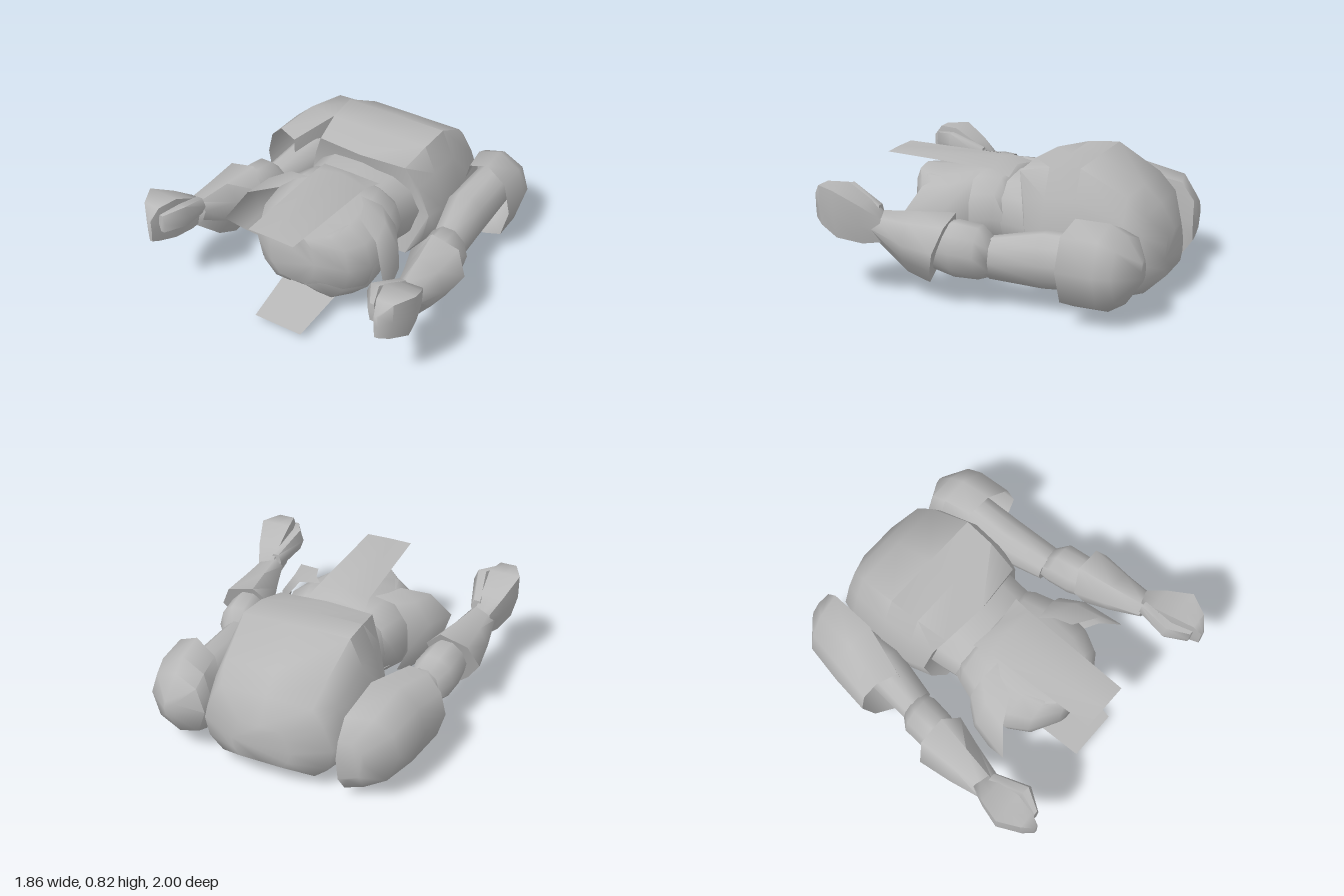
import * as THREE from 'three';
import { toCreasedNormals } from 'three/addons/utils/BufferGeometryUtils.js';

const grey = new THREE.MeshStandardMaterial({ color: 0xb8b8b8, side: THREE.DoubleSide });
grey.name = 'plain grey';

function surface(name, points, index, crease = 1.1) {
  let geo = new THREE.BufferGeometry();
  geo.setAttribute('position', new THREE.Float32BufferAttribute(points.flat(), 3));
  geo.setIndex(index);
  geo = toCreasedNormals(geo, crease);
  const mesh = new THREE.Mesh(geo, grey);
  mesh.name = name;
  return mesh;
}

// Unit cross-section, counter-clockwise; square < 1 makes it boxier
function oval(sides, square = 1) {
  const pow = (v) => Math.sign(v) * Math.abs(v) ** square;
  return Array.from({ length: sides }, (_, i) => {
    const a = (i / sides) * Math.PI * 2;
    return [pow(Math.cos(a)), pow(Math.sin(a))];
  });
}

// Rings along z: [z, centre x, half width, top y, bottom y, z tilt of top, z tilt of outer side,
// bow: top and bottom lips forward, sides back]
function loft(name, profile, rings, { side = 1, capEnd = true } = {}) {
  const section = side > 0 ? profile : profile.map(([u, v]) => [-u, v]).reverse();
  const n = section.length, pts = [], idx = [];
  for (const [z, cx, rx, top, bottom, tiltY = 0, tiltX = 0, bow = 0] of rings) {
    for (const [u, v] of section) {
      pts.push([
        side * cx + rx * u,
        (top + bottom) / 2 + v * (top - bottom) / 2,
        z + tiltY * v + tiltX * u * side + bow * (v * v - u * u),
      ]);
    }
  }
  for (let r = 0; r < rings.length - 1; r++) {
    for (let i = 0; i < n; i++) {
      const a = r * n + i, b = r * n + (i + 1) % n;
      idx.push(a, b, b + n, a, b + n, a + n);
    }
  }
  const last = (rings.length - 1) * n;
  for (let i = 1; i < n - 1; i++) {
    idx.push(0, i + 1, i);
    if (capEnd) idx.push(last, last + i, last + i + 1);
  }
  return surface(name, pts, idx);
}

// Open sheet between rows of equal length
function sheet(name, rows) {
  const n = rows[0].length, idx = [];
  for (let r = 0; r < rows.length - 1; r++) {
    for (let i = 0; i < n - 1; i++) {
      const a = r * n + i;
      idx.push(a, a + n, a + n + 1, a, a + n + 1, a + 1);
    }
  }
  return surface(name, rows.flat(), idx);
}

const chestSection = [
  [1, -0.1], [0.86, 0.55], [0.7, 1], [0, 1], [-0.7, 1], [-0.86, 0.55],
  [-1, -0.1], [-0.93, -0.65], [-0.72, -1], [0, -1], [0.72, -1], [0.93, -0.65],
];
const guardSection = [[1, 0.15], [0.6, 0.8], [-0.4, 1], [-1, 0.45], [-0.7, -0.35], [-0.1, -1], [0.5, -0.5]];
const handSection = [[1, 0], [1, 1], [0.3, 1], [-0.35, 1], [-0.4, 0], [-0.15, -1], [0.75, -1]];
const longPadSection = [[1, 0.1], [0.75, 0.65], [0.1, 1], [-0.85, 0.95], [-1, 0], [-0.85, -1], [-0.2, -0.9], [0.6, -0.6]];

function arm(side) {
  const g = new THREE.Group();
  g.name = side > 0 ? 'leftArm' : 'rightArm';
  const o = { side };
  g.add(
    loft('upperArm', oval(10), [
      [-0.8, 0.59, 0.13, 0.5, 0.18],
      [-0.4, 0.59, 0.14, 0.5, 0.15],
      [-0.08, 0.64, 0.11, 0.44, 0.18],
    ], o),
    loft('elbow', oval(10), [
      [-0.1, 0.65, 0.1, 0.43, 0.2],
      [-0.03, 0.675, 0.135, 0.51, 0.18],
      [0.12, 0.69, 0.13, 0.53, 0.18],
      [0.25, 0.71, 0.1, 0.5, 0.22],
    ], o),
    // Flared guard, wide end toward the elbow
    loft('forearmGuard', guardSection, [
      [0.21, 0.725, 0.18, 0.56, 0.12, -0.08, -0.02],
      [0.4, 0.745, 0.135, 0.55, 0.18, -0.03],
      [0.61, 0.765, 0.085, 0.54, 0.35],
    ], o),
    loft('hand', handSection, [
      [0.55, 0.755, 0.075, 0.52, 0.37],
      [0.66, 0.77, 0.11, 0.6, 0.36],
      [0.81, 0.78, 0.15, 0.69, 0.39],
      [0.94, 0.785, 0.08, 0.69, 0.44],
      [1.0, 0.785, 0.02, 0.62, 0.47],
    ], o),
    loft('thumb', oval(6), [
      [0.6, 0.725, 0.04, 0.58, 0.46],
      [0.82, 0.675, 0.052, 0.68, 0.52],
      [0.95, 0.735, 0.025, 0.66, 0.52],
    ], o),
  );
  return g;
}

// Curved hip plate flaring away from the belt
function hipPlate(side) {
  const root = [[0.19, 0.69, 0.19], [0.33, 0.67, 0.18], [0.42, 0.55, 0.17], [0.43, 0.36, 0.17], [0.36, 0.2, 0.17]];
  const mid = [[0.25, 0.69, 0.26], [0.42, 0.65, 0.29], [0.52, 0.5, 0.3], [0.51, 0.33, 0.27], [0.4, 0.18, 0.23]];
  const rim = [[0.29, 0.68, 0.37], [0.46, 0.63, 0.46], [0.57, 0.45, 0.56], [0.54, 0.29, 0.42], [0.42, 0.17, 0.31]];
  const rows = [root, mid, rim].map((row) => row.map(([x, y, z]) => [side * x, y, z]));
  if (side < 0) rows.forEach((row) => row.reverse());
  return sheet(side > 0 ? 'leftHipPlate' : 'rightHipPlate', rows);
}

export function createModel() {
  const model = new THREE.Group();
  model.name = 'armouredTorso';

  model.add(
    loft('chest', chestSection, [
      [-1.0, 0, 0.19, 0.41, 0.16],
      [-0.91, 0, 0.42, 0.56, 0.09],
      [-0.8, 0, 0.455, 0.665, 0.06],
      [-0.52, 0, 0.495, 0.82, 0.05],
      [-0.32, 0, 0.48, 0.805, 0.055],
      [-0.155, 0, 0.44, 0.755, 0.085, 0.01, 0, 0.05],
    ]),
    loft('abdomen', oval(12, 0.75), [
      [-0.3, 0, 0.38, 0.66, 0.14],
      [-0.12, 0, 0.365, 0.68, 0.15],
      [0.05, 0, 0.345, 0.67, 0.19],
    ]),
    loft('pelvis', oval(12, 0.75), [
      [-0.04, 0, 0.34, 0.66, 0.21, 0.04],
      [0.04, 0, 0.375, 0.695, 0.19],
      [0.18, 0, 0.42, 0.7, 0.16],
      [0.42, 0, 0.405, 0.66, 0.125],
      [0.55, 0, 0.33, 0.65, 0.17],
      [0.66, 0, 0.16, 0.65, 0.28],
    ]),
  );

  for (const side of [-1, 1]) {
    // Rounded lobes either side of the groin
    model.add(loft('thighLobe', oval(10), [
      [0.1, 0.2, 0.17, 0.6, 0.18],
      [0.25, 0.185, 0.22, 0.63, 0.11],
      [0.38, 0.18, 0.22, 0.65, 0.075],
      [0.55, 0.15, 0.17, 0.64, 0.145],
      [0.655, 0.07, 0.08, 0.62, 0.28],
    ], { side }), hipPlate(side), arm(side));
  }

  // Cloths hanging from the belt, front and back
  model.add(
    sheet('frontCloth', [
      [[-0.2, 0.67, 0.0], [0, 0.7, 0.03], [0.2, 0.67, 0.0]],
      [[-0.18, 0.705, 0.12], [0, 0.745, 0.12], [0.18, 0.705, 0.12]],
      [[-0.155, 0.733, 0.86], [0, 0.736, 0.86], [0.155, 0.733, 0.86]],
    ]),
    sheet('backCloth', [
      [[-0.22, 0.19, 0.08], [0.22, 0.19, 0.08]],
      [[-0.165, 0.05, 0.83], [0.165, 0.05, 0.83]],
    ]),
  );

  // Uneven shoulder shells, open toward the hands
  model.add(
    loft('leftShoulderPad', oval(8, 0.9), [
      [-1.0, 0.6, 0.04, 0.41, 0.28],
      [-0.9, 0.605, 0.2, 0.54, 0.13, 0, 0.03],
      [-0.8, 0.615, 0.21, 0.6, 0.07, 0, 0.03],
      [-0.6, 0.635, 0.195, 0.61, 0.08, 0, 0.05],
    ], { capEnd: false }),
    loft('rightShoulderPad', longPadSection, [
      [-0.98, 0.56, 0.09, 0.45, 0.18],
      [-0.87, 0.63, 0.17, 0.57, 0.06, 0, 0.03],
      [-0.58, 0.665, 0.185, 0.62, 0.0],
      [-0.28, 0.735, 0.145, 0.57, 0.04, -0.02, -0.05],
    ], { side: -1, capEnd: false }),
  );

  return model;
}
